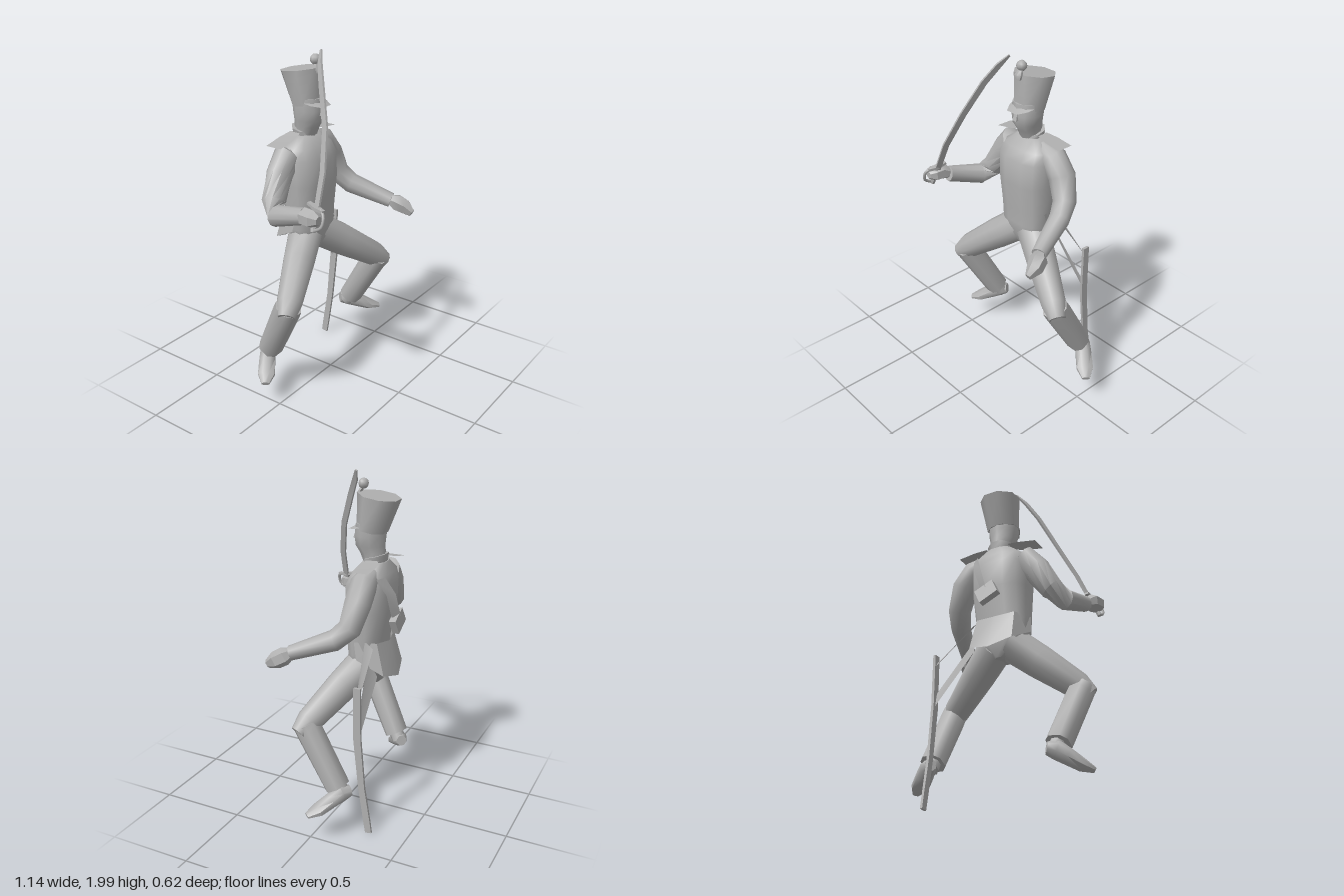
import * as THREE from 'three';
import { toCreasedNormals } from 'three/addons/utils/BufferGeometryUtils.js';

const V = (a) => new THREE.Vector3(a[0], a[1], a[2]);

// Skin over cross-sections [x, y, z, radiusU, radiusV] following their centres.
// ref steers the U axis, axis fixes the section normal, power < 1 makes sections boxier.
function loft(rows, { sides = 10, ref = [1, 0, 0], axis = null, power = 1, crease = 0.9 } = {}) {
  const pos = [], idx = [], n = rows.length;
  const square = sides === 4;
  rows.forEach((r, i) => {
    const t = axis ? V(axis) : V(rows[Math.min(i + 1, n - 1)]).sub(V(rows[Math.max(i - 1, 0)])).normalize();
    const u = V(ref).addScaledVector(t, -V(ref).dot(t)).normalize();
    const v = t.clone().cross(u);
    for (let j = 0; j < sides; j++) {
      const a = (j + 0.5) / sides * Math.PI * 2;
      const shape = (k) => Math.sign(k) * Math.abs(k) ** power * (square ? Math.SQRT2 : 1);
      const p = V(r).addScaledVector(u, shape(Math.cos(a)) * r[3]).addScaledVector(v, shape(Math.sin(a)) * r[4]);
      pos.push(p.x, p.y, p.z);
    }
  });
  for (let i = 0; i < n - 1; i++) for (let j = 0; j < sides; j++) {
    const a = i * sides + j, b = i * sides + (j + 1) % sides;
    idx.push(a, b, b + sides, a, b + sides, a + sides);
  }
  const end = (n - 1) * sides;
  for (let j = 1; j < sides - 1; j++) idx.push(0, j + 1, j, end, end + j, end + j + 1);
  return finish(pos, idx, crease);
}

// Open sheet through rows of points
function sheet(rows) {
  const w = rows[0].length, idx = [];
  for (let i = 0; i < rows.length - 1; i++) for (let j = 0; j < w - 1; j++) {
    const a = i * w + j;
    idx.push(a, a + 1, a + w + 1, a, a + w + 1, a + w);
  }
  return finish(rows.flat(2), idx, 0.6);
}

function finish(pos, idx, crease) {
  const g = new THREE.BufferGeometry();
  g.setAttribute('position', new THREE.Float32BufferAttribute(pos, 3));
  g.setIndex(idx);
  return toCreasedNormals(g, crease);
}

export function createModel() {
  const model = new THREE.Group();
  const grey = new THREE.MeshStandardMaterial({ color: 0xb0b0b0, side: THREE.DoubleSide });
  grey.name = 'plain grey';
  const add = (name, geo) => {
    const m = new THREE.Mesh(geo, grey);
    m.name = name;
    model.add(m);
    return m;
  };
  const cx = -0.06, up = { axis: [0, 1, 0] };

  // Body from crotch to shoulders
  add('torso', loft([
    [cx, 0.84, -0.1, 0.04, 0.06], [cx, 0.91, -0.1, 0.145, 0.095], [cx, 0.99, -0.1, 0.16, 0.098],
    [cx, 1.08, -0.1, 0.163, 0.102], [cx, 1.25, -0.11, 0.175, 0.13], [cx, 1.4, -0.115, 0.18, 0.13],
    [cx, 1.46, -0.125, 0.165, 0.105], [cx, 1.52, -0.135, 0.085, 0.065],
  ], { ...up, sides: 12, power: 0.75 }));
  add('collar', loft([
    [cx, 1.49, -0.125, 0.07, 0.075], [cx, 1.55, -0.135, 0.082, 0.07],
  ], { axis: [0, 0.97, 0.24], sides: 8 }));

  // Coat tails flaring behind the waist
  add('coatTails', sheet([
    [[-0.222, 1.08, -0.08], [-0.18, 1.075, -0.2], [cx, 1.06, -0.225], [0.06, 1.075, -0.2], [0.108, 1.08, -0.08]],
    [[-0.23, 0.98, -0.1], [-0.19, 0.9, -0.25], [cx, 0.855, -0.285], [0.075, 0.89, -0.25], [0.12, 0.98, -0.1]],
  ]));

  // Head
  add('head', loft([
    [cx, 1.5, -0.125, 0.06, 0.055], [cx, 1.565, -0.115, 0.065, 0.075], [cx, 1.605, -0.1, 0.08, 0.085],
    [cx, 1.66, -0.1, 0.09, 0.09], [cx, 1.73, -0.105, 0.09, 0.087],
  ], { ...up, sides: 10 }));
  add('nose', loft([
    [cx, 1.635, -0.025, 0.015, 0.025], [cx, 1.7, -0.03, 0.008, 0.01],
  ], { ...up, sides: 4 }));

  // Tall hat with a sloping crown
  add('hat', loft([
    [cx, 1.69, -0.11, 0.095, 0.087], [cx, 1.88, -0.15, 0.118, 0.122],
  ], { axis: [0, 0.99, -0.14], sides: 8 }));
  add('hatPeak', sheet([
    [[-0.145, 1.71, -0.07], [-0.1, 1.712, -0.03], [-0.02, 1.712, -0.03], [0.025, 1.71, -0.07]],
    [[-0.135, 1.7, -0.035], [-0.1, 1.69, 0.018], [-0.02, 1.69, 0.018], [0.015, 1.7, -0.035]],
  ]));
  add('pompom', new THREE.SphereGeometry(0.03, 8, 6)).position.set(cx, 1.938, -0.055);
  add('pompomStem', loft([
    [cx, 1.865, -0.032, 0.018, 0.012], [cx, 1.89, -0.032, 0.028, 0.014], [cx, 1.92, -0.05, 0.014, 0.012],
  ], { ...up, sides: 6 }));

  // Shoulder plates
  add('rightEpaulette', sheet([
    [[-0.315, 1.493, -0.2], [-0.2, 1.515, -0.2], [-0.13, 1.535, -0.18]],
    [[-0.315, 1.493, -0.1], [-0.2, 1.515, -0.1], [-0.13, 1.535, -0.11]],
  ]));
  add('leftEpaulette', sheet([
    [[0.01, 1.535, -0.18], [0.08, 1.522, -0.2], [0.185, 1.51, -0.2]],
    [[0.01, 1.535, -0.11], [0.08, 1.522, -0.1], [0.185, 1.51, -0.1]],
  ]));

  // Arms and hands
  add('leftArm', loft([
    [0.02, 1.46, -0.135, 0.055, 0.06], [0.11, 1.425, -0.14, 0.08, 0.075], [0.18, 1.34, -0.14, 0.08, 0.075],
    [0.23, 1.21, -0.115, 0.068, 0.068], [0.265, 1.14, -0.04, 0.06, 0.06], [0.35, 1.055, 0.19, 0.046, 0.042],
  ], { ref: [1, 0.2, 0] }));
  add('leftHand', loft([
    [0.345, 1.06, 0.18, 0.03, 0.03], [0.372, 1.04, 0.215, 0.052, 0.052],
    [0.392, 1.015, 0.26, 0.045, 0.05], [0.395, 0.985, 0.31, 0.018, 0.025],
  ], { sides: 6, crease: 0.5 }));
  add('rightArm', loft([
    [-0.13, 1.46, -0.135, 0.055, 0.06], [-0.22, 1.425, -0.135, 0.08, 0.072], [-0.29, 1.34, -0.13, 0.08, 0.07],
    [-0.37, 1.21, -0.11, 0.068, 0.065], [-0.42, 1.155, -0.05, 0.06, 0.06], [-0.45, 1.22, 0.17, 0.044, 0.046],
  ], { ref: [1, 0.4, 0] }));
  add('rightHand', loft([
    [-0.45, 1.22, 0.16, 0.03, 0.03], [-0.478, 1.235, 0.195, 0.055, 0.05],
    [-0.488, 1.235, 0.25, 0.055, 0.048], [-0.49, 1.235, 0.285, 0.025, 0.025],
  ], { sides: 6, crease: 0.5 }));

  // Legs: thigh, straight trouser leg, ankle and shoe
  const legs = [
    { side: 'right', hip: [-0.11, 0.93, -0.1], knee: [-0.46, 0.65, 0.05], cuff: [-0.4, 0.295, -0.14],
      heel: [-0.37, 0.275, -0.185], toe: [-0.55, 0.16, -0.06] },
    { side: 'left', hip: [-0.01, 0.93, -0.1], knee: [0.375, 0.655, 0.085], cuff: [0.38, 0.31, -0.115],
      heel: [0.365, 0.295, -0.165], toe: [0.55, 0.19, -0.015] },
  ];
  for (const { side, hip, knee, cuff, heel, toe } of legs) {
    const mix = (a, b, t, dy = 0) => a.map((k, i) => k + (b[i] - k) * t + (i === 1 ? dy : 0));
    const past = mix(hip, knee, 1.12, -0.01);
    add(side + 'Thigh', loft([
      [...hip, 0.1, 0.1], [...mix(hip, knee, 0.4), 0.095, 0.092],
      [...mix(hip, knee, 0.95), 0.075, 0.074], [...past, 0.05, 0.05],
    ], { ref: [0, 1, 0] }));
    add(side + 'TrouserLeg', loft([
      [...knee, 0.07, 0.073], [...mix(knee, cuff, 0.12), 0.07, 0.075], [...cuff, 0.07, 0.067],
    ], { sides: 8, power: 0.8 }));
    add(side + 'Ankle', loft([
      [...mix(cuff, knee, 0.1), 0.044, 0.048], [...mix(cuff, heel, 0.6, -0.03), 0.042, 0.044],
    ], { sides: 8 }));
    add(side + 'Shoe', loft([
      [...mix(heel, toe, -0.08, -0.02), 0.032, 0.034], [...mix(heel, toe, 0.15), 0.046, 0.052],
      [...mix(heel, toe, 0.4, -0.003), 0.05, 0.044], [...mix(heel, toe, 0.75, -0.008), 0.052, 0.032],
      [...mix(heel, toe, 1.03), 0.024, 0.014],
    ], { sides: 8, ref: [toe[0] < 0 ? -0.6 : 0.6, 0, -0.8] }));
  }

  // Raised sabre
  add('sabreBlade', loft([
    [-0.455, 1.27, 0.245, 0.006, 0.017], [-0.38, 1.45, 0.23, 0.006, 0.018], [-0.285, 1.65, 0.175, 0.006, 0.018],
    [-0.2, 1.84, 0.09, 0.006, 0.018], [-0.14, 1.94, 0.035, 0.006, 0.016], [-0.09, 2.0, 0.005, 0.004, 0.006],
  ], { sides: 4, ref: [1, 0, 0.2] }));
  add('sabreGrip', loft([
    [-0.455, 1.285, 0.235, 0.012, 0.014], [-0.5, 1.17, 0.255, 0.014, 0.016],
  ], { sides: 6 }));
  add('sabreCrossguard', loft([
    [-0.45, 1.3, 0.19, 0.012, 0.007], [-0.46, 1.285, 0.25, 0.018, 0.008], [-0.47, 1.28, 0.3, 0.01, 0.007],
  ], { sides: 4 }));
  const bow = new THREE.CatmullRomCurve3([[-0.465, 1.285, 0.28], [-0.485, 1.26, 0.31], [-0.5, 1.21, 0.308],
    [-0.502, 1.175, 0.255]].map(V));
  add('sabreKnuckleBow', new THREE.TubeGeometry(bow, 10, 0.009, 5));

  // Scabbard hanging at the left hip
  add('scabbard', loft([
    [0.318, 0.015, -0.28, 0.007, 0.019], [0.318, 0.09, -0.268, 0.007, 0.02], [0.319, 0.3, -0.235, 0.008, 0.019],
    [0.32, 0.6, -0.207, 0.008, 0.022], [0.322, 0.91, -0.205, 0.008, 0.02],
  ], { sides: 4 }));
  add('upperScabbardStrap', sheet([
    [[0.09, 1.09, -0.14], [0.315, 0.87, -0.2]], [[0.09, 1.05, -0.19], [0.315, 0.845, -0.215]],
  ]));
  add('lowerScabbardStrap', sheet([
    [[0.09, 0.98, -0.16], [0.315, 0.68, -0.2]], [[0.07, 0.88, -0.21], [0.315, 0.6, -0.215]],
  ]));

  // Pouch and its strap on the back
  const pouch = add('backPouch', new THREE.BoxGeometry(0.12, 0.09, 0.04));
  pouch.position.set(-0.05, 1.19, -0.275);
  pouch.rotation.set(0.1, 0, -0.45);
  add('pouchStrap', sheet([
    [[0.09, 1.45, -0.2], [0.04, 1.46, -0.235]], [[0.05, 1.36, -0.25], [-0.005, 1.36, -0.28]],
    [[0.0, 1.22, -0.26], [-0.05, 1.22, -0.295]],
  ]));
  return model;
}
